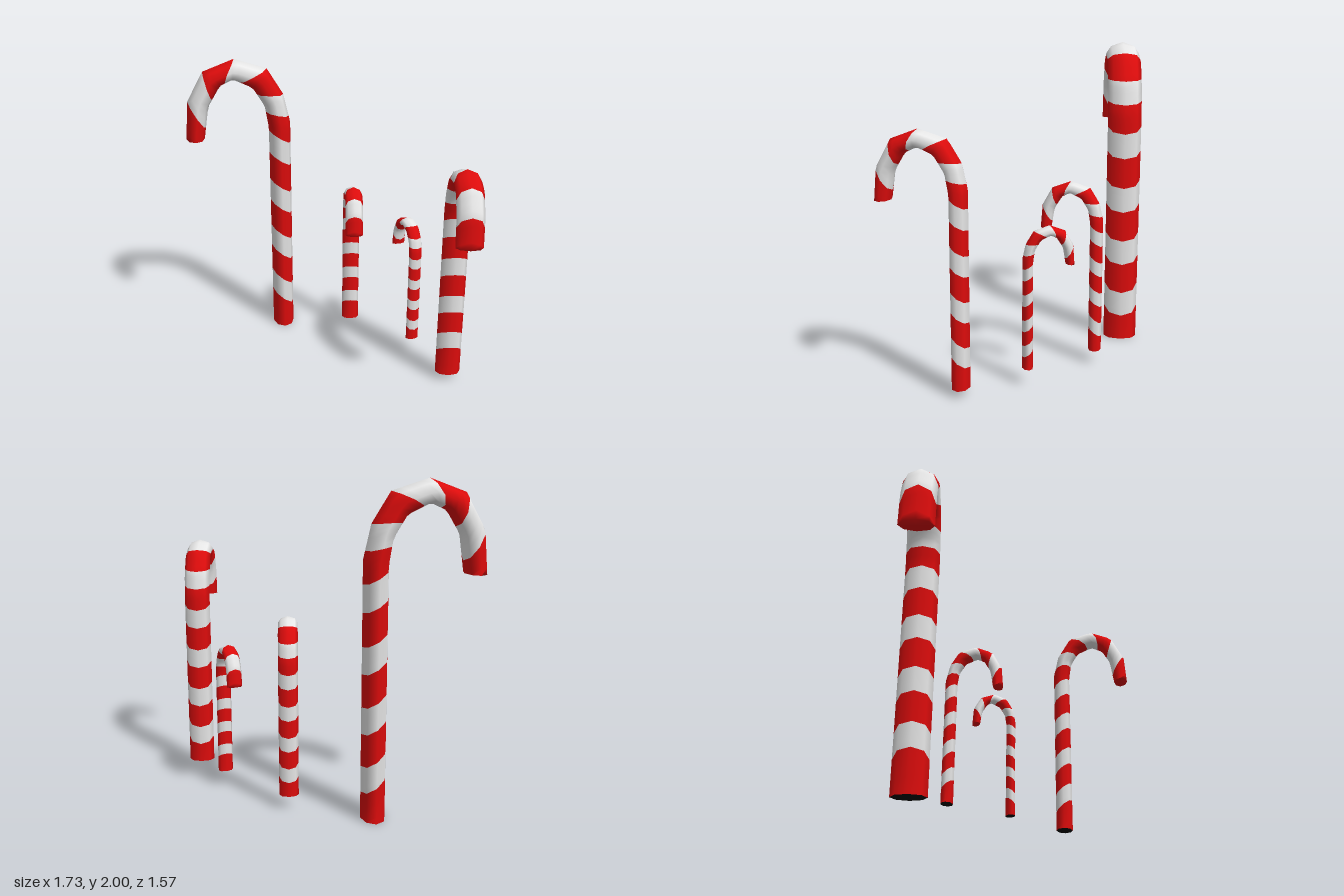
import * as THREE from 'three';

const SIDES = 8, SUB = 4, HALF_DEPTH = 0.11;

// Profile of a full-size cane: [stripe coordinate, outer x, outer y, inner x, inner y]
const PROFILE = [
  [0.08, -0.075, 0, 0.075, 0],
  [8.68, -0.075, 1.55, 0.075, 1.52],
  [10, -0.03, 1.75, 0.10, 1.67],
  [11, 0.08, 1.93, 0.18, 1.80],
  [12, 0.30, 2.00, 0.31, 1.86],
  [13, 0.515, 1.92, 0.40, 1.82],
  [14, 0.625, 1.72, 0.485, 1.68],
  [15, 0.645, 1.46, 0.52, 1.46],
];
const V_MIN = PROFILE[0][0], V_MAX = 15;

// Point on the cane surface at stripe coordinate v and angle t (t = 0 is the outer side)
function surfacePoint(v, t) {
  v = Math.min(V_MAX, Math.max(V_MIN, v));
  let i = 0;
  while (i < PROFILE.length - 2 && v > PROFILE[i + 1][0]) i++;
  const a = PROFILE[i], b = PROFILE[i + 1];
  const k = (v - a[0]) / (b[0] - a[0]);
  const [, ox, oy, ix, iy] = a.map((n, j) => n + (b[j] - n) * k);
  const c = Math.cos(t) / 2;
  return [(ox + ix) / 2 + (ox - ix) * c, (oy + iy) / 2 + (oy - iy) * c, HALF_DEPTH * Math.sin(t)];
}

// Hooked tube with tilted stripes; material 0 is red, 1 is white
function caneGeometry() {
  const positions = [], index = [];
  const geometry = new THREE.BufferGeometry();

  // Stripe boundaries, red bands slightly wider on the post
  const bounds = [];
  for (let k = 0; k <= 15; k++) bounds.push(k === 0 ? -1 : k % 2 === 0 && k < 9 ? k - 0.1 : k);

  const addRow = (v) => {
    for (let j = 0; j < SIDES; j++) {
      const t = (j / SIDES) * Math.PI * 2;
      positions.push(...surfacePoint(v + 0.33 * (1 - Math.cos(t)), t));
    }
  };
  addRow(bounds[0]);
  let row = 0;
  for (let k = 0; k < 15; k++) {
    const start = index.length;
    for (let s = 1; s <= SUB; s++, row++) {
      addRow(bounds[k] + (bounds[k + 1] - bounds[k]) * s / SUB);
      for (let j = 0; j < SIDES; j++) {
        const n = (j + 1) % SIDES, a = row * SIDES, b = a + SIDES;
        index.push(a + j, a + n, b + n, a + j, b + n, b + j);
      }
    }
    // Closed tip of the hook
    if (k === 14) {
      const center = positions.length / 3;
      positions.push(0.5825, 1.46, 0);
      for (let j = 0; j < SIDES; j++) index.push(row * SIDES + j, row * SIDES + (j + 1) % SIDES, center);
    }
    geometry.addGroup(start, index.length - start, k % 2);
  }
  geometry.setAttribute('position', new THREE.Float32BufferAttribute(positions, 3));
  geometry.setIndex(index);
  geometry.computeVertexNormals();
  return geometry;
}

export function createModel() {
  const red = new THREE.MeshStandardMaterial({ color: 0xdd0c0c });
  red.name = 'red';
  const white = new THREE.MeshStandardMaterial({ color: 0xf2f2f2 });
  white.name = 'white';
  const black = new THREE.MeshStandardMaterial({ color: 0x050505 });
  black.name = 'black';

  const model = new THREE.Group();
  model.name = 'candyCanes';
  const stripes = caneGeometry();

  // Flat underside of the post
  const base = new THREE.CircleGeometry(1, SIDES);
  base.rotateX(Math.PI / 2);
  base.scale(0.075, 1, HALF_DEPTH);

  // [name, x, y, z of the foot, scale, hook direction x, z]
  const canes = [
    ['tallestCane', -0.22, 0, -0.677, 1, -0.58, 0.008],
    ['frontCane', 0.78, 0.05, 0.305, 0.75, -0.06, 0.43],
    ['middleCane', 0.26, 0.09, -0.485, 0.54, -0.035, 0.305],
    ['smallestCane', 0.63, 0.11, -0.075, 0.4325, -0.06, -0.245],
  ];
  for (const [name, x, y, z, scale, dx, dz] of canes) {
    const cane = new THREE.Group();
    cane.name = name;
    const body = new THREE.Mesh(stripes, [red, white]);
    body.name = 'stripedBody';
    const foot = new THREE.Mesh(base, black);
    foot.name = 'underside';
    cane.add(body, foot);
    cane.position.set(x, y, z);
    cane.scale.setScalar(scale);
    cane.rotation.y = Math.atan2(-dz, dx);
    model.add(cane);
  }
  return model;
}
